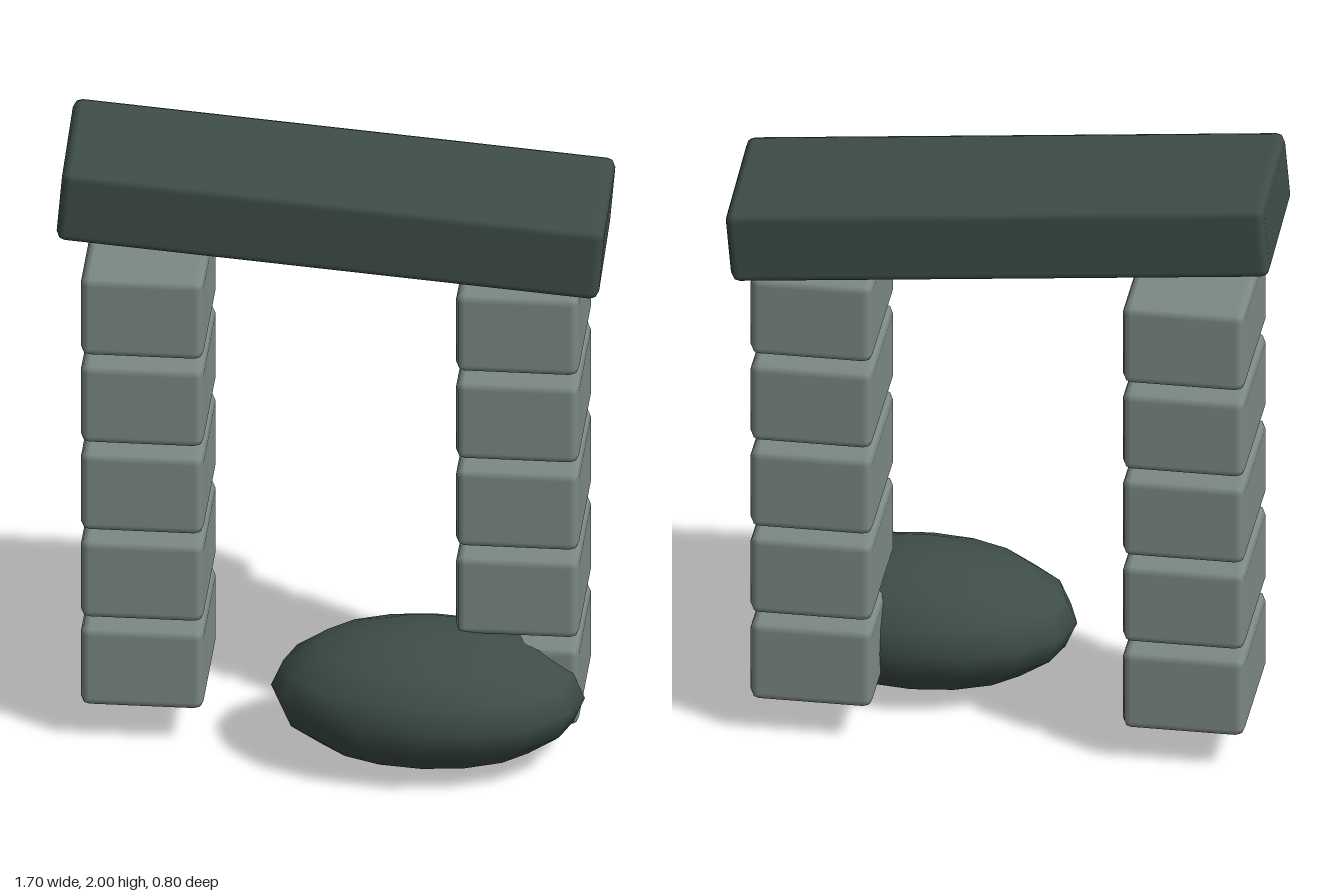
import * as THREE from 'three';
import { RoundedBoxGeometry } from 'three/addons/geometries/RoundedBoxGeometry.js';

export function createModel() {
  const model = new THREE.Group();
  model.name = 'stoneGateway';

  const paleStone = new THREE.MeshStandardMaterial({ color: 0x7d8a86 });
  paleStone.name = 'paleStone';
  const darkStone = new THREE.MeshStandardMaterial({ color: 0x3e4e47 });
  darkStone.name = 'darkStone';

  // Two pillars of five separate stacked blocks
  const blockGeometry = new RoundedBoxGeometry(0.38, 0.275, 0.46, 1, 0.028);
  for (const [name, side] of [['leftPillar', 1], ['rightPillar', -1]]) {
    const pillar = new THREE.Group();
    pillar.name = name;
    for (let i = 0; i < 5; i++) {
      const block = new THREE.Mesh(blockGeometry, paleStone);
      block.name = 'block' + (i + 1);
      block.position.set(side * 0.58, 0.258 + i * 0.305, -0.125);
      pillar.add(block);
    }
    model.add(pillar);
  }

  // Slipped lintel, tilted down towards the left pillar
  const lintel = new THREE.Mesh(new RoundedBoxGeometry(1.68, 0.243, 0.515, 1, 0.028), darkStone);
  lintel.name = 'lintel';
  lintel.position.set(0, 1.808, -0.127);
  lintel.rotation.set(0, 0.018, -0.087);
  model.add(lintel);

  // Flattened boulder at the foot of the left pillar
  const boulder = new THREE.Mesh(new THREE.SphereGeometry(1, 16, 8), darkStone);
  boulder.name = 'boulder';
  boulder.scale.set(0.485, 0.224, 0.3);
  boulder.position.set(0.305, 0.225, 0.1);
  model.add(boulder);

  return model;
}
